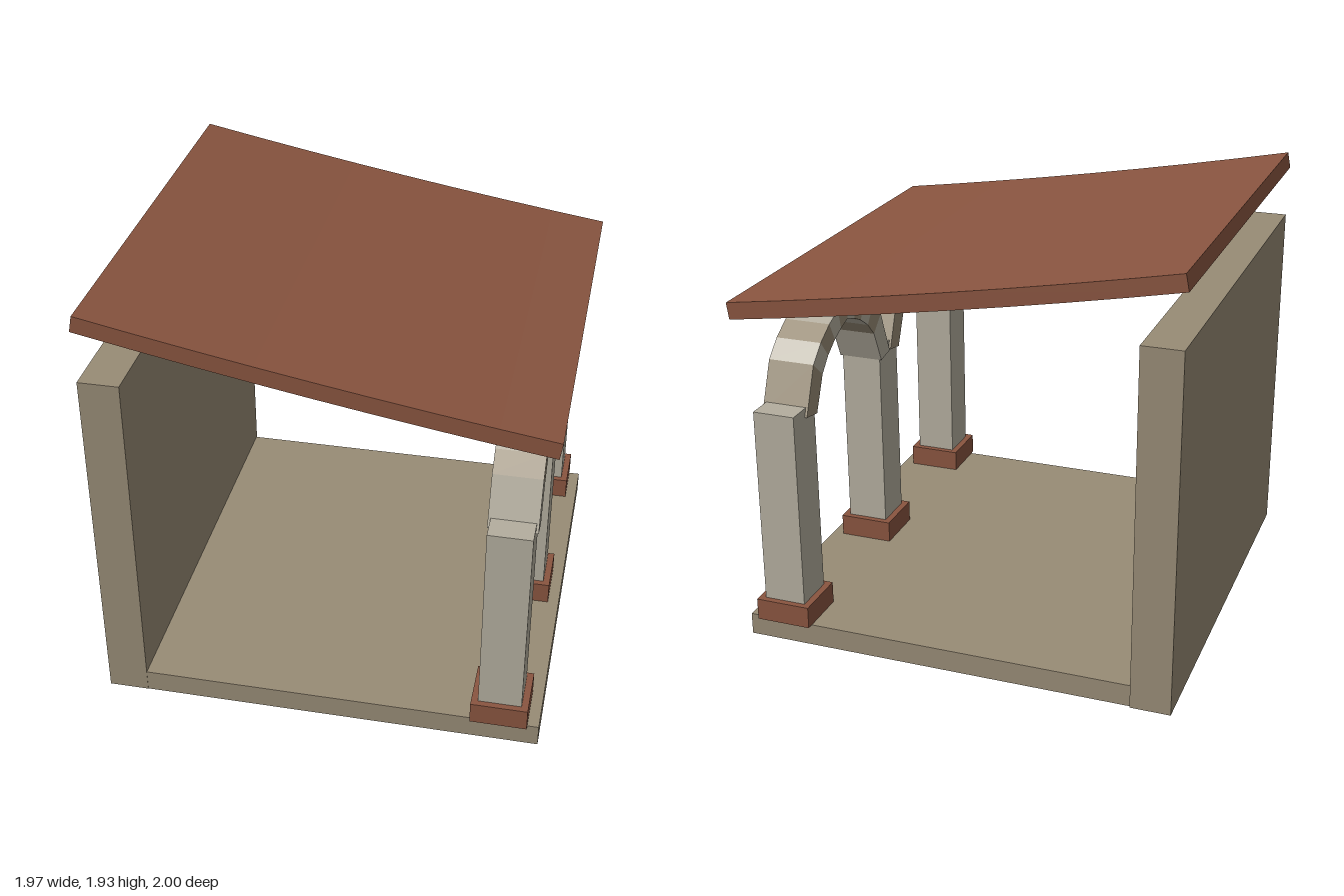
import * as THREE from 'three';

const mat = (name, color) => {
  const m = new THREE.MeshStandardMaterial({ color });
  m.name = name;
  return m;
};

export function createModel() {
  const root = new THREE.Group();
  root.name = 'arcade';
  const tan = mat('tan plaster', 0x988c76);
  const pale = mat('pale stone', 0xb4ae9f);
  const terracotta = mat('terracotta', 0x8a5540);

  const add = (name, geometry, material, parent = root) => {
    const mesh = new THREE.Mesh(geometry, material);
    mesh.name = name;
    parent.add(mesh);
    return mesh;
  };
  // Box given by its minimum and maximum corners
  const box = (name, material, [x0, y0, z0], [x1, y1, z1]) => {
    const g = new THREE.BoxGeometry(x1 - x0, y1 - y0, z1 - z0);
    g.translate((x0 + x1) / 2, (y0 + y1) / 2, (z0 + z1) / 2);
    return add(name, g, material);
  };
  // Outline extruded symmetrically about its own plane
  const slab = (points, depth) => {
    const g = new THREE.ExtrudeGeometry(new THREE.Shape(points), { depth, bevelEnabled: false });
    return g.translate(0, 0, -depth / 2);
  };

  // Floor and back wall
  box('floor', tan, [-0.8, 0, -0.97], [0.976, 0.1, 0.978]);
  box('wall', tan, [-0.978, 0, -0.98], [-0.8, 1.62, 0.98]);

  // Pillars on square bases
  for (const z of [0.875, 0, -0.875]) {
    box('pillarBase', terracotta, [0.675, 0.1, z - 0.125], [0.925, 0.2, z + 0.125]);
    box('pillar', pale, [0.705, 0.2, z - 0.097], [0.895, 1.1, z + 0.097]);
  }

  // Pointed arches of ten alternating stones: [offset, height] from springing to crown
  const outer = [[0.433, 1.06], [0.348, 1.272], [0.27, 1.345], [0.18, 1.4], [0.092, 1.437], [0, 1.463]];
  const inner = [[0.337, 1.043], [0.267, 1.2], [0.205, 1.265], [0.134, 1.313], [0.068, 1.343], [0, 1.366]];
  for (const z of [0.4375, -0.4375]) {
    const arch = new THREE.Group();
    arch.name = 'arch';
    arch.position.set(0.8, 0, z);
    root.add(arch);
    for (const side of [1, -1]) {
      for (let i = 0; i < 5; i++) {
        const corners = [outer[i], outer[i + 1], inner[i + 1], inner[i]]
          .map(([u, y]) => new THREE.Vector2(u * side, y));
        const isPale = (i % 2 === 0) === (side === 1);
        add('archStone', slab(corners, 0.212).rotateY(-Math.PI / 2), isPale ? pale : tan, arch);
      }
    }
  }

  // Gently sagging roof plate
  const sag = (a, b, c) => new THREE.QuadraticBezierCurve(
    new THREE.Vector2(...a), new THREE.Vector2(...b), new THREE.Vector2(...c)).getPoints(8);
  const top = sag([-0.971, 1.926], [0, 1.725], [0.983, 1.585]);
  const bottom = sag([-0.985, 1.854], [-0.01, 1.65], [0.972, 1.511]);
  add('roof', slab([...bottom, ...top.reverse()], 1.96), terracotta);

  return root;
}
